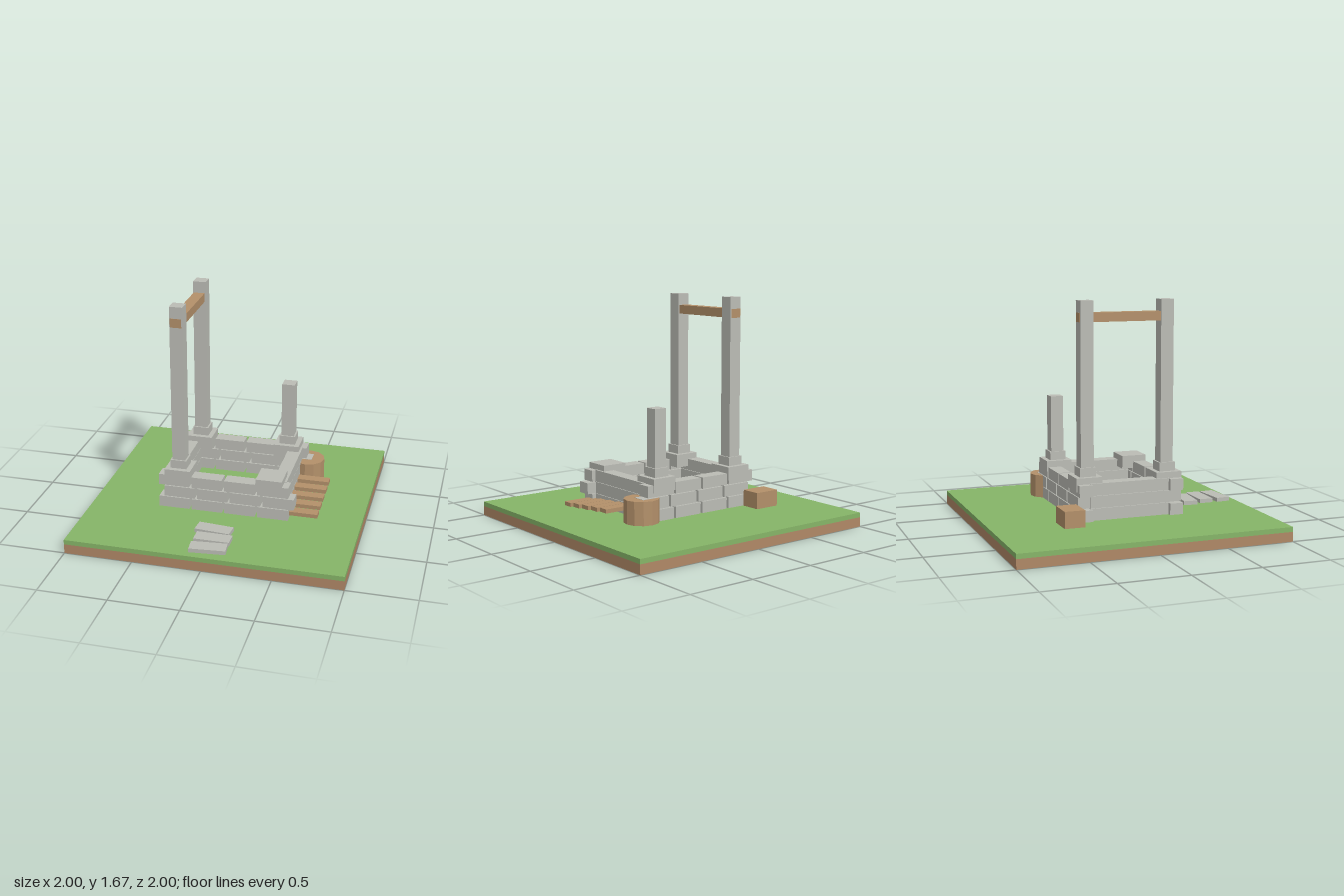
import * as THREE from 'three';

export function createModel() {
  const model = new THREE.Group();
  model.name = 'ruinedTower';
  const mat = (name, color) => {
    const m = new THREE.MeshStandardMaterial({ color, flatShading: true });
    m.name = name;
    return m;
  };
  const stone = mat('stone', 0xbbbcb5);
  const wood = mat('wood', 0xb3906a);
  const grass = mat('grass', 0x86b568);
  const soil = mat('soil', 0xb08866);

  // Box given by its low and high limits on each axis
  const box = (name, material, [x0, x1], [y0, y1], [z0, z1], parent = model) => {
    const mesh = new THREE.Mesh(new THREE.BoxGeometry(x1 - x0, y1 - y0, z1 - z0), material);
    mesh.position.set((x0 + x1) / 2, (y0 + y1) / 2, (z0 + z1) / 2);
    mesh.name = name;
    parent.add(mesh);
    return mesh;
  };
  const group = (name) => {
    const g = new THREE.Group();
    g.name = name;
    model.add(g);
    return g;
  };

  // Ground slab
  box('soilSlab', soil, [-1, 1], [0, 0.07], [-1, 1]);
  box('grassSlab', grass, [-1, 1], [0.07, 0.105], [-1, 1]);

  // Three staggered courses of blocks on the front and back, long blocks on the sides
  const walls = group('walls');
  const courses = [
    { y: [0.132, 0.215], shift: 0 },
    { y: [0.221, 0.304], shift: 0.041 },
    { y: [0.31, 0.393], shift: 0 },
  ];
  for (const { y, shift } of courses) {
    for (const side of [-1, 1]) {
      for (let i = 0; i < 4; i++) {
        const x = (i - 1.5) * 0.246 + shift;
        const z = side * 0.342;
        box('wallBlock', stone, [x - 0.114, x + 0.114], y, [z - 0.05, z + 0.05], walls);
      }
      const x = side * 0.402;
      box('sideWallBlock', stone, [x - 0.05, x + 0.05], [y[0], y[1] + 0.003], [-0.3, 0.3], walls);
    }
  }

  // Corner caps; three of them carry a plinth and a post
  const corners = [
    { x: -0.342, z: 0.3, top: 1.67 },
    { x: -0.342, z: -0.303, top: 1.67 },
    { x: 0.34, z: -0.303, top: 0.92 },
    { x: 0.34, z: 0.3, top: 0 },
  ];
  for (const { x, z, top } of corners) {
    const corner = group('corner');
    const block = (name, half, y) =>
      box(name, stone, [x - half, x + half], y, [z - half, z + half], corner);
    block('cornerCap', 0.096, [0.34, 0.438]);
    if (top) {
      block('postPlinth', 0.06, [0.438, 0.502]);
      block('post', 0.048, [0.502, top]);
    }
  }

  // Crossbeam, its ends just showing through the posts
  box('crossbeam', wood, [-0.385, -0.303], [1.52, 1.585], [-0.354, 0.351]);

  // Rising planks pushed through the right-hand wall
  const steps = group('plankSteps');
  for (let i = 0; i < 5; i++) {
    const z = 0.309 - i * 0.1135;
    const y = 0.169 + i * 0.0095;
    box('plank', wood, [0.29, 0.69], [y - 0.0145, y + 0.0145], [z - 0.0375, z + 0.0375], steps);
  }

  // Stump and crate
  const stump = new THREE.Mesh(new THREE.CylinderGeometry(0.127, 0.127, 0.17, 12), wood);
  stump.position.set(0.49, 0.217, -0.328);
  stump.name = 'stump';
  model.add(stump);
  box('crate', wood, [-0.598, -0.402], [0.13, 0.25], [-0.54, -0.392]);

  // Stepping stones
  const path = group('path');
  const slabs = [
    { x: -0.003, z: 0.625, turn: -0.09 },
    { x: 0.022, z: 0.752, turn: 0 },
    { x: 0.023, z: 0.882, turn: 0.09 },
  ];
  for (const { x, z, turn } of slabs) {
    const slab = box('steppingStone', stone, [x - 0.13, x + 0.13], [0.105, 0.135], [z - 0.053, z + 0.053], path);
    slab.rotation.y = turn;
  }
  return model;
}
